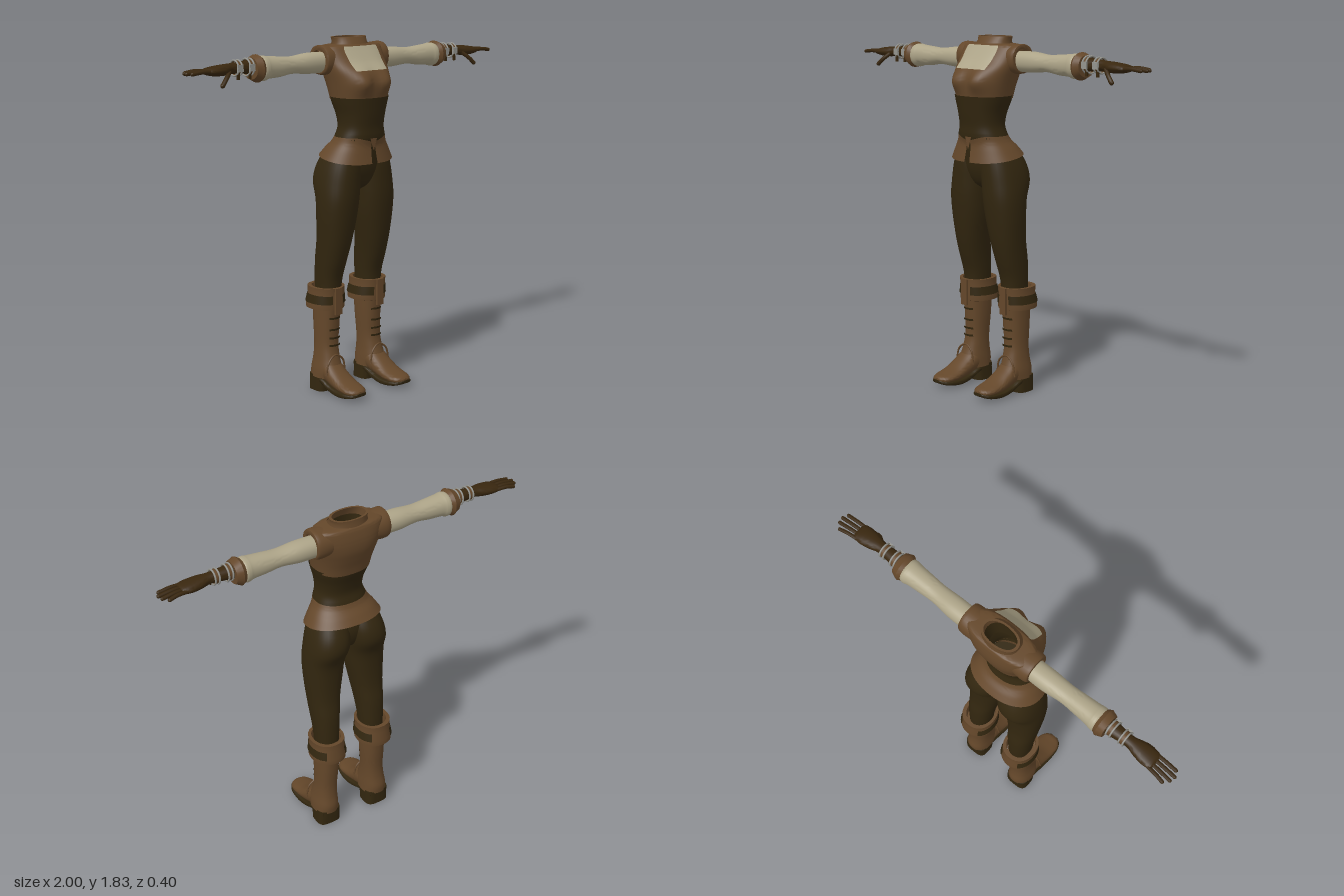
import * as THREE from 'three';
import { toCreasedNormals } from 'three/addons/utils/BufferGeometryUtils.js';

const material = (name, color) => new THREE.MeshStandardMaterial({ name, color, side: THREE.DoubleSide });

// Smooth (Catmull-Rom) or straight resampling of cross-sections
function resample(rings, steps) {
  const out = [];
  for (let i = 0; i < rings.length - 1; i++) {
    const p = [rings[Math.max(i - 1, 0)], rings[i], rings[i + 1], rings[Math.min(i + 2, rings.length - 1)]];
    for (let s = 0; s < steps; s++) {
      const u = s / steps;
      out.push(p[1].map((b, k) => {
        const a = p[0][k], c = p[2][k], d = p[3][k];
        return b + 0.5 * u * (c - a + u * (2 * a - 5 * b + 4 * c - d + u * (3 * (b - c) + d - a)));
      }));
    }
  }
  out.push(rings[rings.length - 1]);
  return out;
}

// Loft of superellipse rings [t, aMin, aMax, bMin, bMax] along an axis
function loft(axis, rings, o = {}) {
  const { steps = 5, seg = 32, power = 2.2, caps = false, arc = null, range = null, grow = 0, warp = null } = o;
  let list = resample(rings, steps);
  if (range) list = list.filter(r => r[0] >= range[0] && r[0] <= range[1]);
  const flip = (axis === 'y') !== (list[list.length - 1][0] < list[0][0]);
  const pos = [], idx = [];
  const place = (t, a, b) => {
    const v = axis === 'y' ? [a, t, b] : axis === 'x' ? [t, a, b] : [a, b, t];
    if (warp) warp(v);
    pos.push(...v);
  };
  const tri = (a, b, c) => (flip ? idx.push(a, c, b) : idx.push(a, b, c));
  const n = arc ? seg + 1 : seg;
  const bend = v => Math.sign(v) * Math.abs(v) ** (2 / power);
  for (const [t, a0, a1, b0, b1] of list) {
    for (let i = 0; i < n; i++) {
      const th = arc ? arc[0] + (arc[1] - arc[0]) * i / seg : Math.PI * 2 * i / seg;
      place(t, (a0 + a1) / 2 + ((a1 - a0) / 2 + grow) * bend(Math.cos(th)),
        (b0 + b1) / 2 + ((b1 - b0) / 2 + grow) * bend(Math.sin(th)));
    }
  }
  for (let j = 0; j < list.length - 1; j++) for (let i = 0; i < seg; i++) {
    const k = arc ? i + 1 : (i + 1) % seg, a = j * n, b = a + n;
    tri(a + i, a + k, b + i);
    tri(a + k, b + k, b + i);
  }
  if (caps) for (const end of [0, list.length - 1]) {
    const [t, a0, a1, b0, b1] = list[end], c = pos.length / 3;
    place(t, (a0 + a1) / 2, (b0 + b1) / 2);
    for (let i = 0; i < seg; i++) {
      const a = end * n + i, b = end * n + (i + 1) % seg;
      end ? tri(a, b, c) : tri(b, a, c);
    }
  }
  const g = new THREE.BufferGeometry();
  g.setAttribute('position', new THREE.Float32BufferAttribute(pos, 3));
  g.setIndex(idx);
  return toCreasedNormals(g, 0.8);
}

// Symmetric ring about x = 0
const ring = (y, w, zb, zf) => [y, -w, w, zb, zf];

export function createModel() {
  const model = new THREE.Group();
  const leather = material('brown leather', 0x64472a);
  const dark = material('dark brown cloth', 0x32260f);
  const linen = material('cream linen', 0xada488);
  const glove = material('glove brown', 0x39270f);
  const silver = material('silver', 0x95958f);

  const add = (parent, name, geo, mat, at = [0, 0, 0]) => {
    const m = new THREE.Mesh(geo, mat);
    m.name = name;
    m.position.set(...at);
    parent.add(m);
    return m;
  };

  // Torso: the bust swells out of the front of the rings
  const bust = v => {
    if (v[2] < 0) return;
    const d = ((Math.abs(v[0]) - 0.075) / 0.055) ** 2 + ((v[1] - 1.615) / 0.055) ** 2;
    v[2] += 0.035 * Math.exp(-d);
  };
  const vestRings = [
    ring(1.525, 0.142, -0.12, 0.128), ring(1.57, 0.15, -0.13, 0.13), ring(1.62, 0.16, -0.145, 0.126),
    ring(1.67, 0.172, -0.158, 0.11), ring(1.72, 0.183, -0.16, 0.068), ring(1.765, 0.188, -0.153, 0.035),
    ring(1.79, 0.175, -0.145, 0.018), ring(1.798, 0.1, -0.135, 0.01)];
  add(model, 'vest', loft('y', vestRings, { power: 2.5, seg: 48, warp: bust }), leather);
  add(model, 'chestPanel', loft('y', vestRings, {
    power: 2.5, seg: 20, steps: 10, warp: bust, grow: 0.004,
    range: [1.672, 1.79], arc: [Math.PI / 2 - 0.52, Math.PI / 2 + 0.52] }), linen);
  add(model, 'collar', loft('y', [
    ring(1.785, 0.106, -0.142, 0.018), ring(1.81, 0.096, -0.136, 0.002), ring(1.832, 0.102, -0.135, -0.012),
    ring(1.832, 0.088, -0.125, -0.022), ring(1.79, 0.084, -0.125, -0.005)], { steps: 1 }), leather);
  add(model, 'neckLining', loft('y', [
    ring(1.68, 0.07, -0.11, 0), ring(1.795, 0.086, -0.126, -0.004)], { steps: 1 }), dark);
  add(model, 'corset', loft('y', [
    ring(1.31, 0.145, -0.098, 0.112), ring(1.34, 0.134, -0.092, 0.12), ring(1.39, 0.12, -0.08, 0.121),
    ring(1.45, 0.125, -0.092, 0.13), ring(1.51, 0.142, -0.114, 0.138), ring(1.54, 0.15, -0.123, 0.142)],
    { power: 2.3, seg: 48 }), dark);

  // Skirt: hem sits higher at the back and parts at the centre front
  const hem = v => {
    const k = (1.34 - v[1]) / 0.12;
    const front = THREE.MathUtils.clamp((v[2] + 0.16) / 0.28, 0, 1);
    v[1] += k * (0.032 - 0.045 * front) - (1 - k) * 0.025 * Math.max(0, 1 - Math.abs(v[0]) / 0.09) * (v[2] > 0 ? 1 : 0);
  };
  const gap = 0.07;
  add(model, 'skirt', loft('y', [
    ring(1.34, 0.136, -0.095, 0.122), ring(1.31, 0.149, -0.108, 0.117), ring(1.27, 0.175, -0.138, 0.122),
    ring(1.22, 0.203, -0.166, 0.131)], {
    seg: 56, warp: hem, arc: [Math.PI / 2 + gap, Math.PI * 2.5 - gap] }), leather);
  const yoke = new THREE.Shape([[-0.022, 1.335], [0.022, 1.335], [0.002, 1.275], [-0.002, 1.275]]
    .map(p => new THREE.Vector2(...p)));
  add(model, 'skirtFrontPoint', new THREE.ShapeGeometry(yoke), leather, [0, 0, 0.121]);

  // Trousers
  add(model, 'hips', loft('y', [
    ring(1.055, 0.015, -0.05, 0.0), ring(1.09, 0.09, -0.1, 0.05), ring(1.15, 0.165, -0.125, 0.078),
    ring(1.22, 0.175, -0.125, 0.09), ring(1.32, 0.138, -0.088, 0.1)], { caps: true }), dark);

  const left = new THREE.Group();
  left.name = 'leftLimbs';
  add(left, 'trouserLeg', loft('y', [
    [0.5, 0.08, 0.195, -0.15, -0.01], [0.6, 0.072, 0.2, -0.15, 0], [0.7, 0.062, 0.206, -0.145, 0.03],
    [0.8, 0.047, 0.212, -0.13, 0.055], [0.92, 0.026, 0.22, -0.127, 0.075], [1.02, 0.014, 0.221, -0.135, 0.087],
    [1.11, 0.003, 0.213, -0.17, 0.09], [1.19, 0, 0.195, -0.16, 0.09], [1.28, 0.02, 0.16, -0.11, 0.085]],
    { power: 2.3 }), dark);

  // Boot shaft, foot, sole and heel
  add(left, 'bootShaft', loft('y', [
    [0.075, 0.084, 0.221, -0.162, 0.0], [0.12, 0.086, 0.218, -0.165, 0.015], [0.18, 0.09, 0.208, -0.154, -0.004],
    [0.25, 0.09, 0.202, -0.15, -0.018], [0.36, 0.083, 0.203, -0.158, -0.014], [0.48, 0.078, 0.205, -0.165, -0.006]],
    { power: 2.3, caps: true }), leather);
  add(left, 'bootFoot', loft('z', [
    [-0.1, 0.09, 0.212, 0.06, 0.15], [-0.03, 0.088, 0.213, 0.045, 0.17], [0.03, 0.09, 0.216, 0.03, 0.13],
    [0.09, 0.088, 0.219, 0.025, 0.092], [0.15, 0.092, 0.217, 0.025, 0.072], [0.185, 0.11, 0.2, 0.028, 0.064],
    [0.2, 0.135, 0.178, 0.035, 0.054]], { caps: true }), leather);
  add(left, 'sole', loft('z', [
    [-0.15, 0.1, 0.205, 0.055, 0.085], [-0.05, 0.088, 0.217, 0.045, 0.075], [0.01, 0.088, 0.218, 0.018, 0.052],
    [0.08, 0.084, 0.222, 0.006, 0.04], [0.15, 0.09, 0.219, 0.012, 0.04], [0.188, 0.108, 0.203, 0.022, 0.042],
    [0.204, 0.135, 0.178, 0.032, 0.046]], { power: 4, caps: true }), dark);
  add(left, 'heel', loft('y', [
    [0, 0.086, 0.219, -0.157, -0.042], [0.085, 0.088, 0.218, -0.158, -0.03]],
    { steps: 1, power: 3.5, caps: true }), dark);
  const seam = new THREE.CatmullRomCurve3([[0.09, 0.1, 0], [0.105, 0.17, 0.0], [0.15, 0.2, -0.003],
    [0.198, 0.17, 0.0], [0.217, 0.1, 0]].map(p => new THREE.Vector3(...p)));
  add(left, 'ankleSeam', new THREE.TubeGeometry(seam, 24, 0.005, 6), leather);
  for (const y of [0.25, 0.29, 0.335, 0.395])
    add(left, 'bootLace', loft('y', [[y - 0.005, 0.085, 0.204, -0.155, -0.007], [y + 0.006, 0.085, 0.204, -0.155, -0.005]],
      { steps: 1, seg: 10, arc: [Math.PI / 2 - 0.6, Math.PI / 2 + 0.6] }), dark);

  // Folded boot cuff with dark patches and a front strap
  const cuff = [[0.44, 0.07, 0.21, -0.17, -0.008], [0.445, 0.05, 0.235, -0.197, 0.006], [0.475, 0.048, 0.236, -0.198, 0.008],
    [0.52, 0.055, 0.229, -0.187, 0.008], [0.56, 0.053, 0.232, -0.186, 0.011], [0.56, 0.068, 0.214, -0.165, -0.002],
    [0.5, 0.072, 0.21, -0.16, -0.005]];
  add(left, 'bootCuff', loft('y', cuff, { steps: 1 }), leather);
  for (const [a, b] of [[-1.0, 1.25], [1.9, 4.1]])
    add(left, 'cuffPatch', loft('y', cuff.slice(2, 4), { steps: 2, seg: 20, grow: 0.003, arc: [a, b] }), dark);
  add(left, 'cuffStrap', new THREE.BoxGeometry(0.042, 0.14, 0.012), leather, [0.143, 0.49, 0.012]);

  // Shoulder cap and sleeve
  add(left, 'shoulderCap', loft('x', [
    [0.11, 1.66, 1.793, -0.14, 0.015], [0.17, 1.65, 1.798, -0.142, 0.015], [0.203, 1.655, 1.797, -0.135, 0.008],
    [0.203, 1.67, 1.775, -0.118, -0.01]], { steps: 3 }), leather);
  add(left, 'sleeve', loft('x', [
    [0.18, 1.662, 1.765, -0.12, -0.012], [0.28, 1.662, 1.765, -0.12, -0.01], [0.38, 1.67, 1.755, -0.11, -0.013],
    [0.46, 1.66, 1.76, -0.112, -0.008], [0.53, 1.656, 1.766, -0.117, -0.004], [0.555, 1.648, 1.77, -0.122, 0],
    [0.575, 1.652, 1.767, -0.12, -0.002], [0.59, 1.67, 1.755, -0.1, -0.015]], { caps: true }), linen);
  add(left, 'sleeveCuff', loft('x', [
    [0.575, 1.652, 1.768, -0.12, -0.002], [0.593, 1.643, 1.778, -0.13, 0.01], [0.625, 1.66, 1.765, -0.118, -0.002],
    [0.625, 1.68, 1.75, -0.1, -0.02]], { steps: 1, caps: true }), leather);

  // Glove with fingers
  add(left, 'gloveHand', loft('x', [
    [0.59, 1.682, 1.758, -0.1, -0.018], [0.66, 1.69, 1.752, -0.094, -0.024], [0.74, 1.695, 1.746, -0.086, -0.028],
    [0.79, 1.69, 1.743, -0.098, -0.015], [0.84, 1.691, 1.738, -0.106, -0.01], [0.875, 1.697, 1.731, -0.104, -0.014],
    [0.888, 1.704, 1.724, -0.098, -0.022]], { caps: true, seg: 24 }), glove);
  const finger = (name, points, r) => {
    const curve = new THREE.CatmullRomCurve3(points.map(p => new THREE.Vector3(...p)));
    add(left, name, new THREE.TubeGeometry(curve, 8, r, 8), glove);
    add(left, name + 'Tip', new THREE.SphereGeometry(r, 8, 6), glove, points[points.length - 1]);
  };
  [[0.962, -0.096, -0.11], [0.985, -0.073, -0.084], [0.991, -0.05, -0.057], [0.978, -0.026, -0.03]]
    .forEach(([x, z0, z1]) => finger('finger', [[0.865, 1.714, z0], [0.92, 1.717, (z0 + z1) / 2], [x, 1.711, z1]], 0.0095));
  finger('thumb', [[0.77, 1.708, -0.03], [0.805, 1.678, -0.008], [0.833, 1.65, 0.002]], 0.011);

  // Wrist straps with silver buckles
  for (const [x, r] of [[0.645, 0.039], [0.712, 0.035]]) {
    const band = new THREE.CylinderGeometry(r, r, 0.026, 20, 1, true).rotateZ(Math.PI / 2);
    add(left, 'wristStrap', band, leather, [x, 1.721, -0.058]);
    for (const dx of [-0.011, 0.011])
      add(left, 'buckleRing', new THREE.TorusGeometry(r + 0.002, 0.0045, 6, 20).rotateY(Math.PI / 2), silver, [x + dx, 1.721, -0.058]);
    add(left, 'buckle', new THREE.BoxGeometry(0.032, 0.034, 0.01), silver, [x, 1.721, -0.058 + r]);
    add(left, 'strapEnd', new THREE.BoxGeometry(0.014, 0.035, 0.008), glove, [x + 0.006, 1.685, -0.058 + r * 0.7]);
  }

  model.add(left);
  const right = left.clone();
  right.name = 'rightLimbs';
  right.scale.x = -1;
  model.add(right);
  return model;
}
